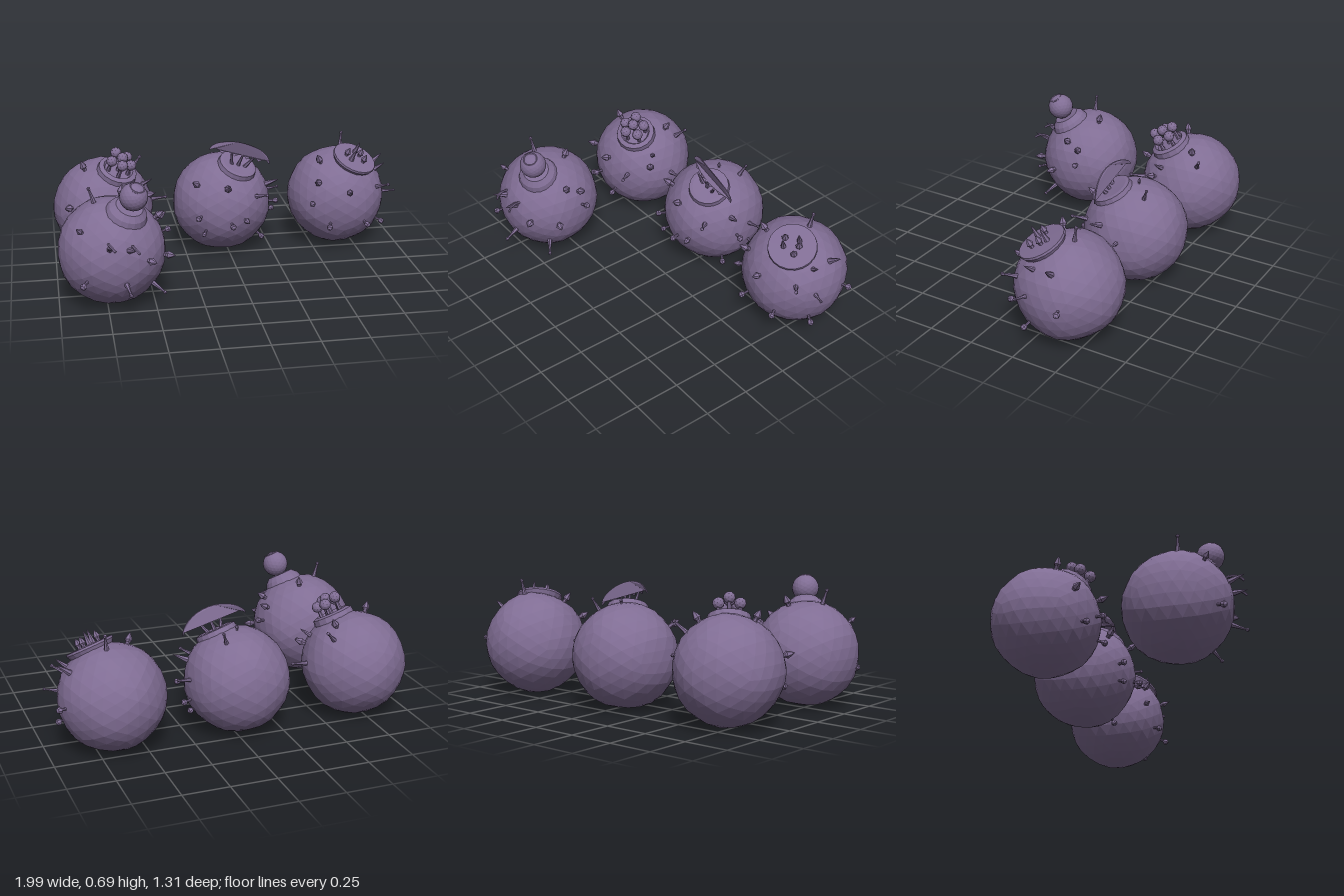
import * as THREE from 'three';

const R = 0.283;
const UP = new THREE.Vector3(0, 1, 0);
const AXIS = new THREE.Vector3(0.29, 0.87, 0.39).normalize();

export function createModel() {
  const root = new THREE.Group();
  const skin = new THREE.MeshStandardMaterial({ color: 0x806d94, flatShading: true, side: THREE.DoubleSide });
  skin.name = 'dusty purple';

  const add = (parent, name, geometry, x = 0, y = 0, z = 0) => {
    const mesh = new THREE.Mesh(geometry, skin);
    mesh.name = name;
    mesh.position.set(x, y, z);
    parent.add(mesh);
    return mesh;
  };
  const lathe = (points, sides) =>
    new THREE.LatheGeometry(points.map(p => new THREE.Vector2(p[0], p[1])), sides);

  // Small growths, each standing on its base along +y
  const growths = {
    bud: lathe([[0.012, -0.012], [0.012, 0.008], [0.021, 0.02], [0.013, 0.04], [0, 0.062]], 6),
    rod: lathe([[0.015, -0.012], [0.009, 0.035], [0.006, 0.07], [0.010, 0.075], [0.010, 0.084], [0, 0.09]], 6),
    ball: lathe([[0.008, -0.012], [0.007, 0.02], [0.014, 0.025], [0.018, 0.035], [0.014, 0.047], [0, 0.053]], 7),
    horn: lathe([[0.018, -0.012], [0.012, 0.03], [0.007, 0.06], [0, 0.085]], 6),
  };

  // Slightly lumpy faceted body
  const bodyGeometry = seed => {
    const g = new THREE.IcosahedronGeometry(R, 4);
    const p = g.attributes.position;
    const v = new THREE.Vector3();
    for (let i = 0; i < p.count; i++) {
      v.fromBufferAttribute(p, i);
      const n = Math.sin(v.x * 23 + seed) * Math.sin(v.y * 21 + seed * 2) + Math.sin(v.z * 25 + seed * 3) * 0.6;
      v.multiplyScalar(1 + n * 0.011);
      p.setXYZ(i, v.x, v.y, v.z);
    }
    g.computeVertexNormals();
    return g;
  };

  // Body with scattered growths and a tilted frame for its crown
  const makePod = (name, x, z, seed, spots) => {
    const pod = new THREE.Group();
    pod.name = name;
    pod.position.set(x, 0.293, z);
    root.add(pod);
    add(pod, 'body', bodyGeometry(seed));
    for (const [type, dx, dy, dz, scale = 1] of spots) {
      const dir = new THREE.Vector3(dx, dy, dz).normalize();
      const m = add(pod, type + 'Growth', growths[type]);
      m.position.copy(dir).multiplyScalar(R);
      m.quaternion.setFromUnitVectors(UP, dir);
      m.scale.setScalar(scale);
    }
    const crown = new THREE.Group();
    crown.name = 'crown';
    crown.position.copy(AXIS).multiplyScalar(R - 0.012);
    crown.quaternion.setFromUnitVectors(UP, AXIS);
    pod.add(crown);
    return { pod, crown };
  };

  // Back left pod: collar with a cluster of stalked balls
  const a = makePod('clusterPod', -0.715, -0.372, 1, [
    ['rod', 0.3, 0.03, 0], ['rod', 0.19, 0.2, -0.12], ['bud', 0.14, 0.24, -0.06], ['bud', -0.1, 0.25, 0.08],
    ['bud', -0.19, 0.07, 0.21], ['ball', -0.04, -0.02, 0.28], ['rod', 0.16, 0.04, 0.23], ['bud', 0.25, 0.1, 0.13],
    ['ball', 0.07, -0.1, 0.26], ['bud', 0.02, 0.1, 0.26], ['ball', -0.14, -0.09, 0.24], ['horn', 0.22, 0.15, 0.09, 0.8],
  ]);
  add(a.crown, 'collar', lathe([[0.115, -0.02], [0.11, 0.016], [0.085, 0.026], [0.075, 0.012], [0, 0.012]], 16));
  for (let i = 0; i < 6; i++) {
    const t = i * Math.PI * 0.4 + 0.3;
    const r = i === 5 ? 0 : 0.058;
    const h = i === 5 ? 0.095 : 0.07 + (i % 2) * 0.015;
    const px = r * Math.cos(t), pz = r * Math.sin(t);
    add(a.crown, 'clusterStalk', new THREE.CylinderGeometry(0.009, 0.012, h, 6), px, h / 2, pz);
    add(a.crown, 'clusterBall', new THREE.IcosahedronGeometry(0.031, 1), px, h + 0.01, pz);
  }

  // Middle pod: smooth opening with an upright scalloped fan
  const b = makePod('fanPod', -0.03, -0.372, 2, [
    ['ball', -0.15, -0.015, 0.24], ['bud', 0, 0.14, 0.245], ['rod', 0.175, 0.08, 0.21], ['ball', 0.02, -0.055, 0.28],
    ['ball', 0.2, -0.18, 0.1], ['ball', 0.28, 0, 0.06], ['ball', 0.27, -0.07, -0.03], ['horn', 0.25, 0.11, 0.08],
    ['bud', -0.16, 0.155, 0.18], ['rod', 0.1, 0.25, -0.1, 0.85], ['bud', 0.01, 0.28, -0.02, 0.5], ['rod', 0.27, 0.04, -0.03, 0.8],
    ['ball', -0.12, -0.1, 0.23, 0.9], ['bud', 0.1, -0.04, 0.26, 0.8],
  ]);
  add(b.crown, 'opening', lathe([[0.115, -0.015], [0.11, 0.012], [0.09, 0.016], [0, 0.012]], 18));
  const fan = new THREE.Shape();
  fan.moveTo(-0.18, 0);
  for (let i = 1; i <= 16; i++) {
    const t = Math.PI * (1 - i / 16);
    fan.lineTo(0.18 * Math.cos(t), 0.085 * Math.sin(t));
  }
  for (let i = 0; i < 5; i++) {
    const x0 = 0.18 - i * 0.072;
    fan.quadraticCurveTo(x0 - 0.036, 0.032, x0 - 0.072, 0);
  }
  const fanGeometry = new THREE.ExtrudeGeometry(fan, { depth: 0.006, bevelEnabled: false, curveSegments: 5 });
  const fp = fanGeometry.attributes.position;
  for (let i = 0; i < fp.count; i++) fp.setZ(i, fp.getZ(i) - 1.5 * fp.getX(i) ** 2);
  fanGeometry.computeVertexNormals();
  const sheet = add(b.pod, 'fan', fanGeometry, 0.092, 0.292, 0.14);
  sheet.rotation.set(-0.2, 0, -0.28);
  for (let i = -1; i <= 1; i++) {
    const stalk = add(b.crown, 'fanStalk', new THREE.CylinderGeometry(0.006, 0.012, 0.09, 6), i * 0.05, 0.04, 0.01);
    stalk.rotation.z = -i * 0.35;
  }

  // Right pod: flat disc set with small buds
  const c = makePod('discPod', 0.655, -0.372, 3, [
    ['bud', -0.145, 0.135, 0.205], ['bud', 0.015, 0.09, 0.27, 0.9], ['rod', 0.2, 0.09, 0.18], ['ball', -0.085, -0.095, 0.25],
    ['ball', 0.115, -0.095, 0.24], ['ball', 0.24, -0.14, 0.1], ['rod', 0.28, 0.035, 0.1, 0.8], ['ball', 0.28, 0.01, -0.1],
    ['horn', 0.22, 0.17, -0.03], ['bud', -0.12, 0.235, 0.11], ['rod', 0.035, 0.28, -0.05], ['horn', 0.22, 0.17, 0.08, 0.8],
    ['bud', -0.18, 0.02, 0.22, 0.8],
  ]);
  add(c.crown, 'disc', lathe([[0.11, -0.03], [0.13, 0.004], [0.128, 0.016], [0, 0.02]], 20));
  [[-0.055, 0], [0.005, -0.045], [0.045, 0.03], [-0.03, 0.035], [0.03, -0.02]].forEach(([px, pz], i) => {
    add(c.crown, 'discBud', growths[i % 2 ? 'horn' : 'bud'], px, 0.02, pz).scale.setScalar(0.9);
  });

  // Front left pod: collar holding a round bulb
  const d = makePod('bulbPod', -0.715, 0.313, 4, [
    ['horn', -0.025, 0.1, 0.265], ['horn', 0.075, 0.085, 0.26], ['bud', 0.22, 0.165, 0.02], ['bud', 0.24, 0.135, -0.055],
    ['bud', 0.27, -0.01, 0.1], ['rod', 0.2, -0.15, 0.13], ['ball', -0.145, -0.085, 0.23], ['rod', 0.055, -0.1, 0.26],
    ['rod', -0.085, 0.27, 0.02], ['bud', 0.06, 0.27, -0.09], ['bud', 0.17, 0.01, 0.22], ['bud', -0.16, 0.165, 0.17, 0.8],
    ['ball', 0.27, 0.06, -0.06],
  ]);
  add(d.crown, 'collar', lathe([[0.115, -0.025], [0.1, 0.014], [0.072, 0.04], [0.06, 0.04], [0, 0.035]], 18));
  add(d.crown, 'bulb', new THREE.IcosahedronGeometry(0.073, 3), 0, 0.108, 0);
  const ring = add(d.crown, 'bulbRing', new THREE.TorusGeometry(0.038, 0.005, 5, 16), 0, 0.169, 0);
  ring.rotation.x = Math.PI / 2;

  // Curved feelers on the face of the bulb pod
  for (const [x, y] of [[-0.03, 0.12], [0.09, 0.1]]) {
    const z = Math.sqrt(R * R - x * x - y * y);
    const path = new THREE.QuadraticBezierCurve3(
      new THREE.Vector3(x, y, z - 0.01), new THREE.Vector3(x, y + 0.02, z + 0.05), new THREE.Vector3(x + 0.03, y - 0.01, z + 0.08));
    add(d.pod, 'feeler', new THREE.TubeGeometry(path, 6, 0.007, 6));
  }
  return root;
}
